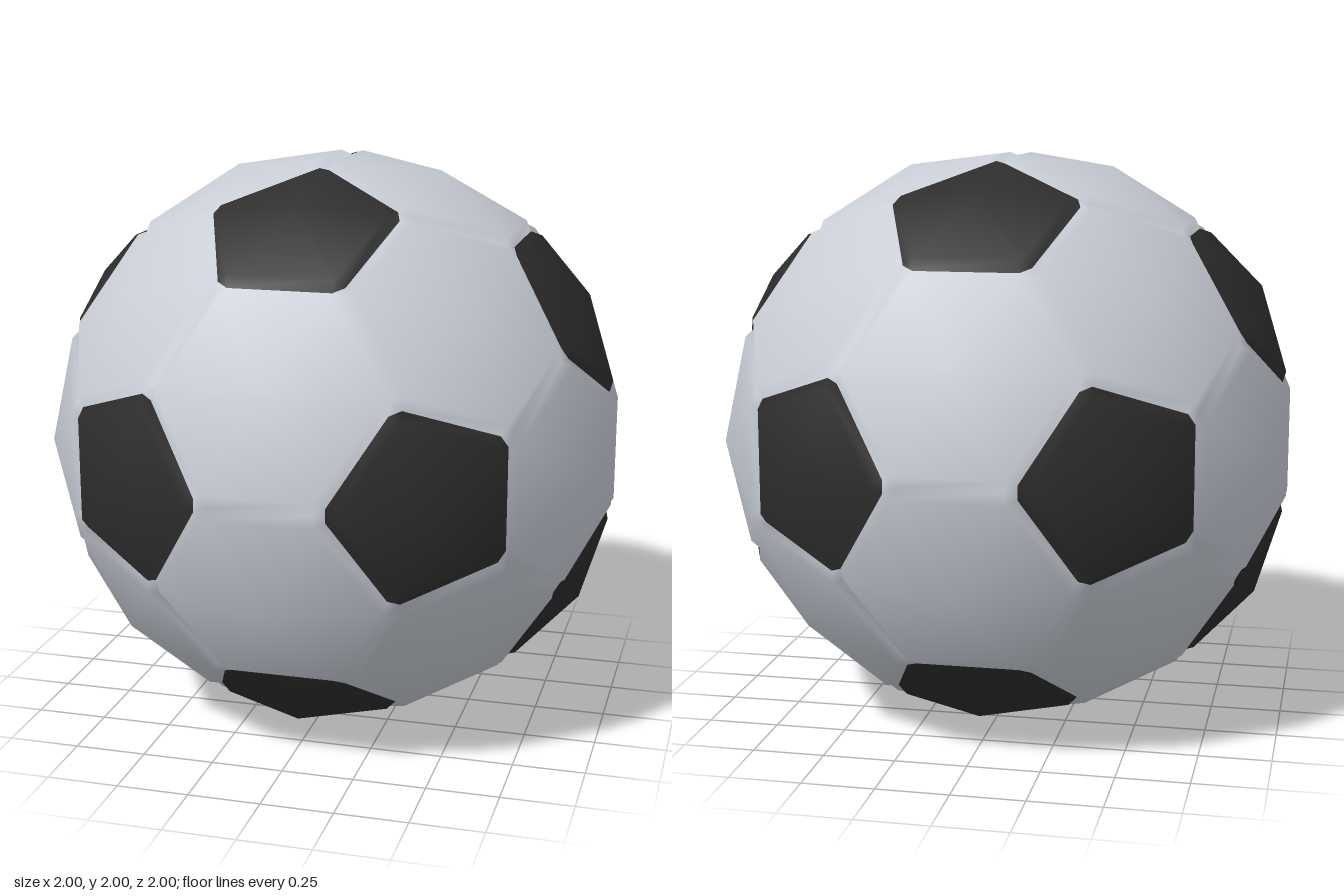
import * as THREE from 'three';
import { mergeVertices } from 'three/addons/utils/BufferGeometryUtils.js';

const SEAM_RADIUS = 1.0055;  // corners where three panels meet
const RIM_RADIUS = 1.018;    // raised edge of every panel
const SEAM_INSET = 0.04;     // half width of the groove between panels
const CORNER_CUT = 0.07;     // share of each seam cut off at its ends

// Twelve icosahedron corners: the centres of the dark patches
function patchCentres() {
  const t = (1 + Math.sqrt(5)) / 2, out = [];
  for (const a of [1, -1]) for (const b of [t, -t]) {
    out.push(new THREE.Vector3(a, 0, b), new THREE.Vector3(0, b, a), new THREE.Vector3(b, a, 0));
  }
  return out.map((v) => v.normalize());
}

// Sort points counter-clockwise around a direction, seen from outside
function sortAround(points, dir) {
  const u = points[0].clone().addScaledVector(dir, -points[0].dot(dir)).normalize();
  const w = dir.clone().cross(u);
  const angle = (p) => Math.atan2(p.dot(w), p.dot(u));
  return points.slice().sort((p, q) => angle(p) - angle(q));
}

const seamPoint = (from, to) => from.clone().lerp(to, CORNER_CUT);

// One panel: seam groove, raised rim and a shallow peak in the middle
function addPanel(tris, corners, dir, peakRadius) {
  const ring = sortAround(corners, dir), n = ring.length;
  const flat = dir.clone().multiplyScalar(ring[0].dot(dir));
  const apothem = ring[0].clone().add(ring[1]).multiplyScalar(0.5).distanceTo(flat);
  const rim = ring.map((v) => v.clone().lerp(flat, SEAM_INSET / apothem).setLength(RIM_RADIUS));
  const peak = dir.clone().multiplyScalar(peakRadius);
  for (let i = 0; i < n; i++) {
    const j = (i + 1) % n, h = (i + n - 1) % n;
    const start = seamPoint(ring[i], ring[j]), end = seamPoint(ring[j], ring[i]);
    tris.push(start, end, rim[j], start, rim[j], rim[i]);       // groove side
    tris.push(seamPoint(ring[i], ring[h]), start, rim[i]);      // cut corner
    tris.push(rim[i], rim[j], peak);                            // panel face
  }
}

export function createModel() {
  const centres = patchCentres();
  const touching = (a, b) => a !== b && a.distanceTo(b) < 1.1;
  const corner = (a, b) => a.clone().multiplyScalar(2).add(b).setLength(SEAM_RADIUS);
  const light = [], dark = [], corners = [];

  // Dark five-sided patches
  for (const a of centres) {
    const ring = centres.filter((b) => touching(a, b)).map((b) => corner(a, b));
    corners.push(...ring);
    addPanel(dark, ring, a, 1.051);
  }

  // Light six-sided panels
  centres.forEach((a, i) => centres.forEach((b, j) => centres.forEach((c, k) => {
    if (!(i < j && j < k && touching(a, b) && touching(b, c) && touching(a, c))) return;
    const ring = [[a, b], [b, a], [b, c], [c, b], [a, c], [c, a]].map(([p, q]) => corner(p, q));
    addPanel(light, ring, a.clone().add(b).add(c).normalize(), 1.028);
  })));

  // Small triangles where three seams meet
  for (const v of corners) {
    const near = corners.filter((w) => w !== v && w.distanceTo(v) < 0.5);
    light.push(...sortAround(near.map((w) => seamPoint(v, w)), v.clone().normalize()));
  }

  // Weld everything so shading flows smoothly across the seams
  const soup = new THREE.BufferGeometry().setFromPoints([...light, ...dark]);
  const shell = mergeVertices(soup, 1e-4);
  shell.computeVertexNormals();
  const indices = Array.from(shell.index.array);

  const group = new THREE.Group();
  group.name = 'ball';
  const addPart = (name, from, to, material) => {
    const geometry = shell.clone();
    geometry.setIndex(indices.slice(from, to));
    const mesh = new THREE.Mesh(geometry, material);
    mesh.name = name;
    mesh.position.y = 1;
    group.add(mesh);
  };
  const lightGrey = new THREE.MeshStandardMaterial({ color: 0xc8cdd6 });
  lightGrey.name = 'light grey';
  const charcoal = new THREE.MeshStandardMaterial({ color: 0x2d2d2d });
  charcoal.name = 'charcoal';
  addPart('lightPanels', 0, light.length, lightGrey);
  addPart('darkPatches', light.length, indices.length, charcoal);
  return group;
}
